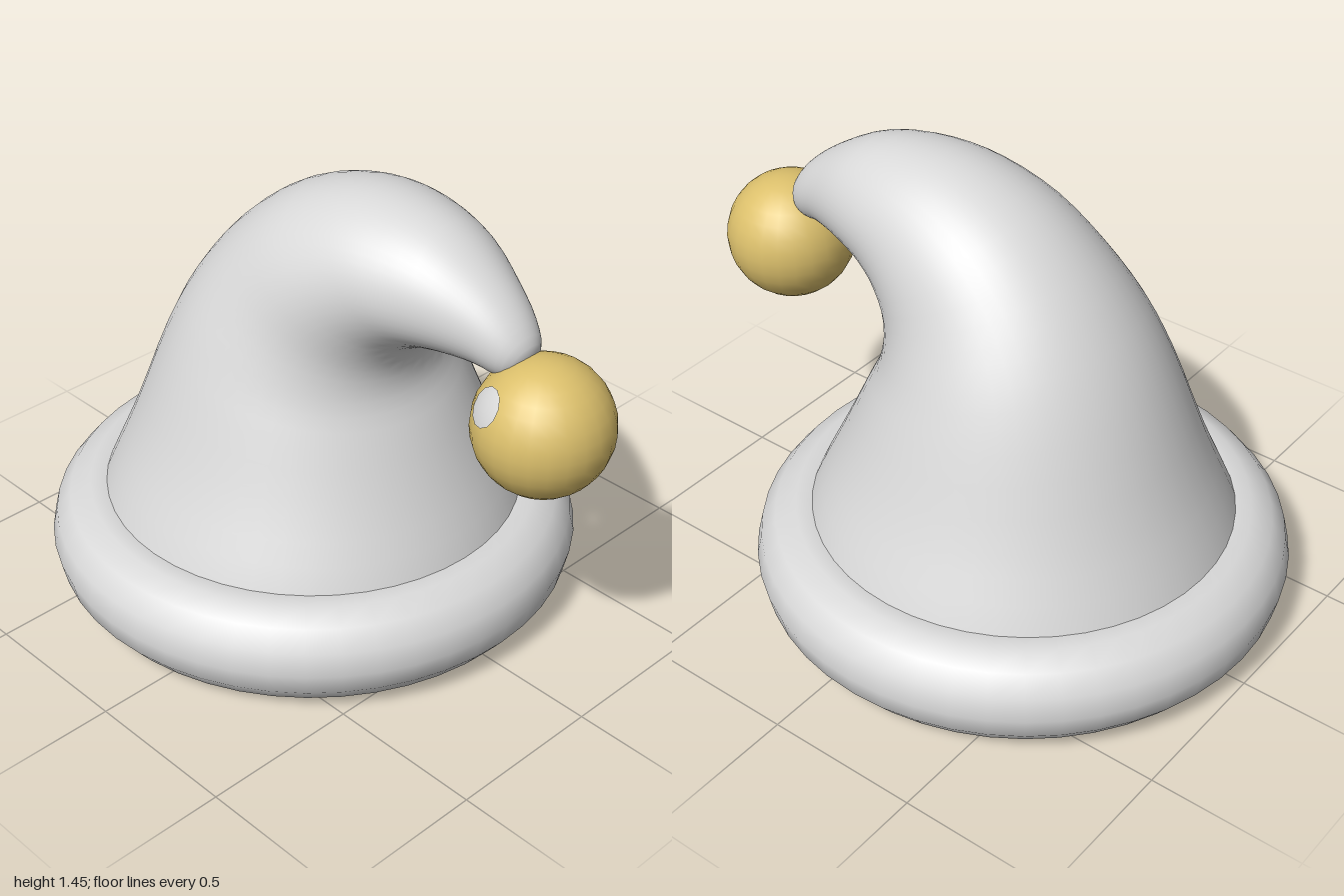
import * as THREE from 'three';

const cream = new THREE.MeshStandardMaterial({ color: 0xd9d9d9 });
cream.name = 'pale grey felt';
const gold = new THREE.MeshStandardMaterial({ color: 0xdcc06c });
gold.name = 'gold pompom';

// Cross-sections of the cap: outer edge x, y, inner edge x, y, half depth in z
const SECTIONS = [
  [-0.9, 0.14, 0.58, 0.14, 0.735],
  [-0.82, 0.34, 0.51, 0.34, 0.66],
  [-0.72, 0.57, 0.42, 0.53, 0.565],
  [-0.6, 0.87, 0.335, 0.71, 0.475],
  [-0.5, 1.05, 0.28, 0.83, 0.415],
  [-0.36, 1.22, 0.28, 0.925, 0.355],
  [-0.18, 1.36, 0.325, 1.005, 0.31],
  [0.02, 1.437, 0.38, 1.04, 0.27],
  [0.2, 1.455, 0.45, 1.062, 0.235],
  [0.4, 1.425, 0.53, 1.068, 0.185],
  [0.56, 1.34, 0.6, 1.065, 0.135],
  [0.67, 1.25, 0.65, 1.055, 0.1],
  [0.725, 1.17, 0.68, 1.06, 0.065],
  [0.72, 1.11, 0.72, 1.11, 0],
];

function add(group, name, geometry, material, x = 0, y = 0, z = 0) {
  const mesh = new THREE.Mesh(geometry, material);
  mesh.name = name;
  mesh.position.set(x, y, z);
  group.add(mesh);
  return mesh;
}

// Skin of ellipses running from the wide base to the drooping tip
function capGeometry(rings = 39, sides = 48) {
  const curve = (f) => new THREE.CatmullRomCurve3(SECTIONS.map(f));
  const outer = curve((s) => new THREE.Vector3(s[0], s[1], s[4]));
  const inner = curve((s) => new THREE.Vector3(s[2], s[3], 0));
  const positions = [];
  const index = [];
  for (let i = 0; i <= rings; i++) {
    const a = outer.getPoint(i / rings);
    const b = inner.getPoint(i / rings);
    const depth = a.z;
    for (let j = 0; j < sides; j++) {
      const t = (j / sides) * Math.PI * 2;
      const k = (1 + Math.cos(t)) / 2;
      positions.push(b.x + (a.x - b.x) * k, b.y + (a.y - b.y) * k, depth * Math.sin(t));
      if (i === rings) continue;
      const p = i * sides + j;
      const q = i * sides + ((j + 1) % sides);
      index.push(p, q, q + sides, p, q + sides, p + sides);
    }
  }
  const geometry = new THREE.BufferGeometry();
  geometry.setAttribute('position', new THREE.Float32BufferAttribute(positions, 3));
  geometry.setIndex(index);
  geometry.computeVertexNormals();
  return geometry;
}

export function createModel() {
  const hat = new THREE.Group();
  hat.name = 'floppyHat';

  // Drooping cap and its closed underside
  add(hat, 'cap', capGeometry(), cream);
  add(hat, 'capUnderside', new THREE.CircleGeometry(0.735, 48).rotateX(Math.PI / 2), cream, -0.16, 0.14, 0);

  // Padded brim
  const brim = new THREE.TorusGeometry(0.68, 0.166, 14, 48).rotateX(Math.PI / 2);
  add(hat, 'brim', brim, cream, -0.155, 0.17, 0);

  // Pompom with a small pale spot on its front
  add(hat, 'pompom', new THREE.SphereGeometry(0.208, 24, 16), gold, 0.785, 0.942, 0);
  const spot = add(hat, 'pompomSpot',
    new THREE.SphereGeometry(0.211, 12, 3, 0, Math.PI * 2, 0, 0.29), cream, 0.785, 0.942, 0);
  spot.quaternion.setFromUnitVectors(
    new THREE.Vector3(0, 1, 0), new THREE.Vector3(-0.075, 0.1, 0.165).normalize());

  return hat;
}
